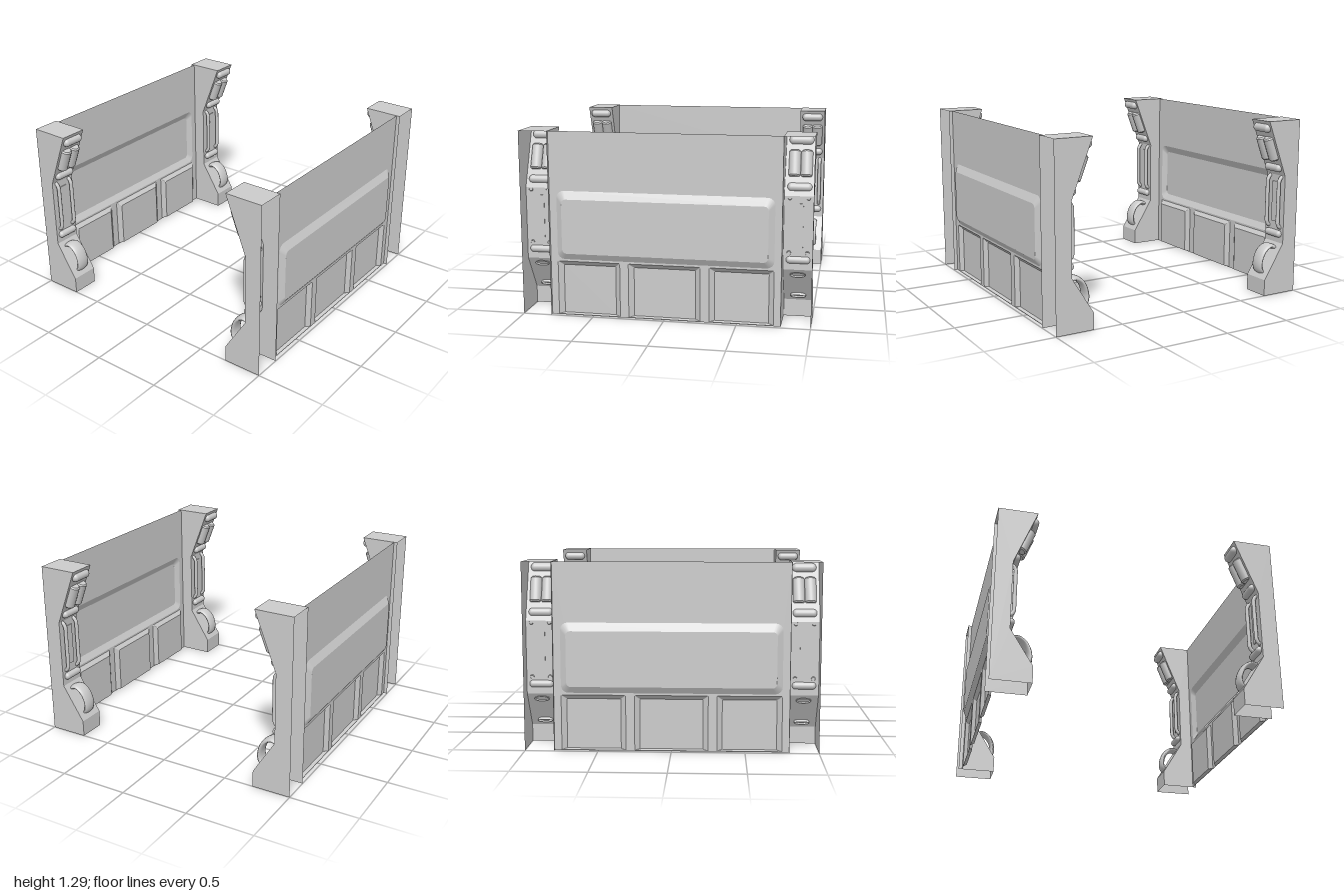
import * as THREE from 'three';
import { toCreasedNormals } from 'three/addons/utils/BufferGeometryUtils.js';

const grey = new THREE.MeshStandardMaterial({ color: 0xcccccc, side: THREE.DoubleSide });

function add(parent, name, geometry, x = 0, y = 0, z = 0) {
  const mesh = new THREE.Mesh(geometry, grey);
  mesh.name = name;
  mesh.position.set(x, y, z);
  parent.add(mesh);
  return mesh;
}

// Surface spanned between two rows of points
function loft(a, b, closed, crease) {
  const n = a.length, index = [];
  for (let i = 0; i < (closed ? n : n - 1); i++) {
    const j = (i + 1) % n;
    index.push(i, j, n + i, j, n + j, n + i);
  }
  const g = new THREE.BufferGeometry().setFromPoints([...a, ...b]);
  g.setIndex(index);
  g.computeVertexNormals();
  return crease ? toCreasedNormals(g, crease) : g;
}

// Rounded rectangle as 2D points
function roundRect(x0, x1, y0, y1, r) {
  const pts = [];
  const corners = [[x1 - r, y1 - r], [x0 + r, y1 - r], [x0 + r, y0 + r], [x1 - r, y0 + r]];
  corners.forEach(([cx, cy], k) => {
    for (let i = 0; i <= 4; i++) {
      const t = (k + i / 4) * Math.PI / 2;
      pts.push(new THREE.Vector2(cx + r * Math.cos(t), cy + r * Math.sin(t)));
    }
  });
  return pts;
}

const WALL_Z = 0.972, HEIGHT = 1.29;

// Thin wall: pressed-out middle panel and three pressed-in lower panels
function makeWall() {
  const wall = new THREE.Group();
  wall.name = 'wall';
  const sheet = new THREE.Shape(roundRect(-0.8, 0.8, 0, HEIGHT, 0.0005));
  const at = (pts, z) => pts.map(p => new THREE.Vector3(p.x, p.y, z));
  const press = (name, outer, inner, z) => {
    sheet.holes.push(new THREE.Path(outer));
    add(wall, name + 'Slope', loft(at(outer, WALL_Z), at(inner, z), true));
    add(wall, name, new THREE.ShapeGeometry(new THREE.Shape(inner)), 0, 0, z);
  };
  press('middlePanel', roundRect(-0.75, 0.75, 0.4, 0.88, 0.05),
    roundRect(-0.71, 0.71, 0.445, 0.825, 0.03), 1);
  for (const [x0, x1] of [[-0.75, -0.31], [-0.25, 0.25], [0.31, 0.75]]) {
    press('lowerPanel', roundRect(x0, x1, 0.004, 0.385, 0.004),
      roundRect(x0 + 0.035, x1 - 0.035, 0.01, 0.355, 0.004), 0.946);
  }
  add(wall, 'wallSheet', new THREE.ShapeGeometry(sheet), 0, 0, WALL_Z);
  return wall;
}

// Pillar shell, open at the back and bottom, with fittings on its inner face
function makePillar(x) {
  const pillar = new THREE.Group();
  pillar.name = 'pillar';
  pillar.position.x = x;

  // Profile as (z, y)
  const profile = [[0.72, 0], [0.72, 0.12], [0.88, 0.375], [0.88, 0.88], [0.72, HEIGHT], [1, HEIGHT]];
  const row = px => profile.map(([z, y]) => new THREE.Vector3(px, y, z));
  add(pillar, 'pillarFace', loft(row(-0.1), row(0.1), false, 0.3));
  const outline = [...profile, [1, 0]].map(([z, y]) => new THREE.Vector2(z, y));
  const side = new THREE.ShapeGeometry(new THREE.Shape(outline)).rotateY(-Math.PI / 2);
  for (const s of [-1, 1]) add(pillar, 'pillarSide', side, s * 0.1);

  // Horizontal rolls: y, z, radius
  for (const [y, z, r] of [[1.237, 0.737, 0.031], [0.937, 0.853, 0.028], [0.443, 0.872, 0.026]]) {
    const roll = new THREE.CapsuleGeometry(r, 0.16 - r, 5, 16);
    add(pillar, 'crossRoll', roll.rotateZ(Math.PI / 2), 0, y, z).scale.x = 0.165 / (0.16 + r);
  }

  // Pair of padded bars lying on the upper slope
  const tilt = -Math.atan2(0.16, 0.41);
  for (const s of [-1, 1]) {
    const r = 0.04, bar = [[0, -0.09], [r - 0.008, -0.09], [r, -0.08], [r, 0.08], [r - 0.008, 0.09], [0, 0.09]];
    const g = new THREE.LatheGeometry(bar.map(p => new THREE.Vector2(...p)), 20);
    add(pillar, 'slopeBar', toCreasedNormals(g, 0.6), s * 0.04, 1.085, 0.794).rotation.x = tilt;
  }

  // Bent rods standing off the upright face, with a thin plate between
  const rodPts = [[0.885, 0.87], [0.868, 0.862], [0.855, 0.835], [0.855, 0.525], [0.868, 0.498], [0.885, 0.49]];
  const rod = new THREE.CurvePath();
  for (let i = 0; i < rodPts.length - 1; i++) {
    const [a, b] = [rodPts[i], rodPts[i + 1]].map(([z, y]) => new THREE.Vector3(0, y, z));
    rod.add(new THREE.LineCurve3(a, b));
  }
  for (const s of [-1, 1]) add(pillar, 'standoffRod', new THREE.TubeGeometry(rod, 48, 0.014, 10), s * 0.062);
  add(pillar, 'backingPlate', new THREE.BoxGeometry(0.06, 0.3, 0.01), 0, 0.68, 0.878);

  // Broad curved handle on the lower slope
  const loop = new THREE.CatmullRomCurve3([[0.87, 0.335], [0.82, 0.35], [0.765, 0.315], [0.733, 0.24], [0.738, 0.18], [0.762, 0.155]]
    .map(([z, y]) => new THREE.Vector3(0, y, z)));
  add(pillar, 'handle', new THREE.TubeGeometry(loop, 28, 0.018, 14)).scale.x = 2.9;
  return pillar;
}

export function createModel() {
  const model = new THREE.Group();
  model.name = 'wallSet';
  // Two matching halves facing each other
  for (const turn of [0, Math.PI]) {
    const half = new THREE.Group();
    half.name = turn ? 'backHalf' : 'frontHalf';
    half.add(makeWall(), makePillar(-0.9), makePillar(0.9));
    half.rotation.y = turn;
    model.add(half);
  }
  return model;
}
